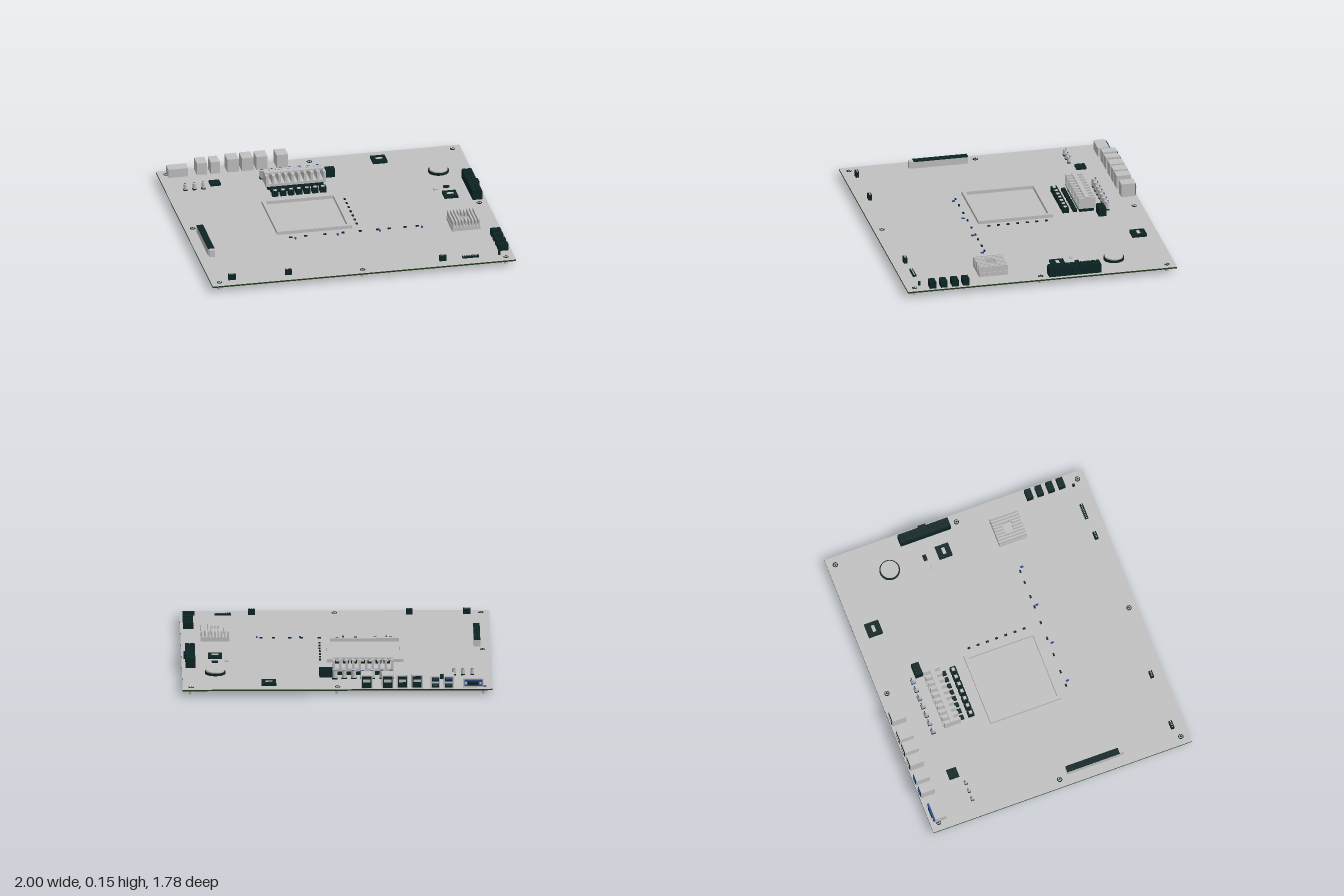
import * as THREE from 'three';

const mat = (name, color, opts = {}) => {
  const m = new THREE.MeshStandardMaterial({ color, ...opts });
  m.name = name;
  return m;
};

export function createModel() {
  const root = new THREE.Group();
  root.name = 'circuitBoard';
  const grey = mat('light grey', 0xc0c0c0);
  const dark = mat('dark plastic', 0x0d2424);
  const green = mat('board edge green', 0x243c1c);
  const blue = mat('connector blue', 0x274a94);
  const T = 0.043; // top surface of the board

  const add = (name, geo, m, parent = root) => {
    const mesh = new THREE.Mesh(geo, m);
    mesh.name = name;
    parent.add(mesh);
    return mesh;
  };
  // box given by its limits on each axis
  const box = (name, x0, x1, y0, y1, z0, z1, m, parent) => {
    const mesh = add(name, new THREE.BoxGeometry(x1 - x0, y1 - y0, z1 - z0), m, parent);
    mesh.position.set((x0 + x1) / 2, (y0 + y1) / 2, (z0 + z1) / 2);
    return mesh;
  };
  // box standing on the board, given by its centre and size
  const block = (name, x, z, w, d, top, m, parent, y0 = T) =>
    box(name, x - w / 2, x + w / 2, y0, top, z - d / 2, z + d / 2, m, parent);
  const can = (name, x, z, r, y0, y1, m, parent, sides = 16) => {
    const mesh = add(name, new THREE.CylinderGeometry(r, r, y1 - y0, sides), m, parent);
    mesh.position.set(x, (y0 + y1) / 2, z);
    return mesh;
  };
  const group = (name) => {
    const g = new THREE.Group();
    g.name = name;
    root.add(g);
    return g;
  };

  // Board: grey faces, green edges
  box('board', -1, 1, 0.033, T, -0.89, 0.89, [green, green, grey, grey, green, green]);

  // Standoffs and screws
  const mounts = group('mounts');
  for (const x of [-0.945, 0, 0.945]) for (const z of [-0.835, 0, 0.835]) {
    if (x === 0 && z === 0) continue;
    can('standoff', x, z, 0.014, 0, 0.033, grey, mounts);
    can('screwWasher', x, z, 0.017, T, T + 0.003, dark, mounts);
    can('screwHead', x, z, 0.012, T, T + 0.006, grey, mounts);
    for (const a of [0, Math.PI / 2]) {
      const slot = block('screwSlot', x, z, 0.019, 0.004, T + 0.007, dark, mounts, T + 0.004);
      slot.rotation.y = a;
    }
  }

  // Rear ports, with dark and blue openings facing back
  const ports = group('rearPorts');
  const port = (x0, x1, top, sockets, tongue) => {
    box('portShell', x0, x1, T, top, -0.88, -0.785, grey, ports);
    const h = (top - T) / sockets;
    for (let i = 0; i < sockets; i++) {
      const y = T + i * h;
      box('portOpening', x0 + 0.008, x1 - 0.008, y + 0.007, y + h - 0.007, -0.883, -0.879, dark, ports);
      box('portTongue', x0 + 0.014, x1 - 0.014, y + h * 0.5, y + h * 0.7, -0.887, -0.882, tongue, ports);
    }
  };
  port(-0.75, -0.685, 0.125, 2, blue);
  port(-0.66, -0.6, 0.125, 2, blue);
  for (const x of [-0.55, -0.455, -0.36, -0.225]) port(x, x + 0.075, 0.133, 1, grey);
  box('videoPortShell', -0.94, -0.81, T, 0.102, -0.855, -0.78, grey, ports);
  box('videoPortFace', -0.933, -0.817, 0.055, 0.094, -0.866, -0.855, blue, ports);
  box('videoPortOpening', -0.91, -0.84, 0.062, 0.086, -0.869, -0.865, dark, ports);
  for (const x of [-0.922, -0.828]) box('videoPortScrew', x - 0.007, x + 0.007, 0.067, 0.081, -0.872, -0.865, grey, ports);

  // Power stage heatsink: base, fins and a ridge along the middle
  const sink = group('powerHeatsink');
  box('heatsinkPad', -0.35, 0.015, T, 0.07, -0.565, -0.47, dark, sink);
  box('heatsinkBase', -0.365, 0.03, 0.07, 0.088, -0.575, -0.46, grey, sink);
  for (let i = 0; i < 10; i++) {
    const x = -0.357 + i * 0.0421;
    box('heatsinkFin', x - 0.008, x + 0.008, 0.088, 0.144, -0.573, -0.462, grey, sink);
  }
  box('heatsinkRidge', -0.365, 0.03, 0.138, 0.15, -0.533, -0.503, grey, sink);

  // Chips and chokes in front of the heatsink
  const power = group('powerStage');
  for (let i = 0; i < 8; i++) block('transistor', -0.326 + i * 0.046, -0.442, 0.028, 0.026, 0.062, dark, power);
  for (let i = 0; i < 7; i++) {
    const x = -0.322 + i * 0.0525;
    block('choke', x, -0.38, 0.04, 0.04, 0.08, dark, power);
    block('chokeTop', x, -0.38, 0.022, 0.02, 0.083, grey, power, 0.079);
  }

  // Can capacitors with a blue stripe on top
  const caps = group('capacitors');
  const capacitor = (x, z, r, top) => {
    block('capacitorFoot', x, z, r * 2.1, r * 1.7, T + 0.008, dark, caps);
    can('capacitorCan', x, z, r, T + 0.008, top, grey, caps);
    block('capacitorStripe', x, z - r * 0.6, r * 1.2, r * 0.4, top + 0.002, blue, caps, top - 0.003);
  };
  for (let i = 0; i < 7; i++) capacitor(-0.35 + i * 0.061, -0.65, 0.016, 0.102);
  for (const x of [-0.872, -0.812, -0.754]) capacitor(x, -0.575, 0.012, 0.088);

  // Small power connector
  const cpuPower = group('smallPowerConnector');
  block('connectorBody', 0.073, -0.6, 0.085, 0.05, 0.098, dark, cpuPower);
  for (let i = 0; i < 4; i++) block('connectorCell', 0.042 + i * 0.021, -0.6, 0.016, 0.04, 0.102, dark, cpuPower, 0.098);

  // Processor socket: stepped frame around the open board
  const socket = group('processorSocket');
  const frame = (name, half, inner, y0, y1) => {
    const s = new THREE.Shape();
    const ring = (p, h) => p.moveTo(-h, -h).lineTo(h, -h).lineTo(h, h).lineTo(-h, h).lineTo(-h, -h);
    ring(s, half);
    const hole = new THREE.Path();
    ring(hole, inner);
    s.holes.push(hole);
    const g = new THREE.ExtrudeGeometry(s, { depth: y1 - y0, bevelEnabled: false });
    g.rotateX(-Math.PI / 2);
    add(name, g, grey, socket).position.set(-0.186, y0, -0.037);
  };
  frame('socketFrame', 0.246, 0.222, T, 0.065);

  // Chipset heatsink: parallel fins, with a low square in the middle
  const chipset = group('chipsetHeatsink');
  box('chipsetBase', 0.685, 0.872, T, 0.07, 0.2, 0.39, grey, chipset);
  for (let i = 0; i < 9; i++) {
    const x = 0.694 + i * 0.0211;
    const cut = i > 2 && i < 6;
    const spans = cut ? [[0.2, 0.265], [0.325, 0.39]] : [[0.2, 0.39]];
    for (const [z0, z1] of spans) box('chipsetFin', x - 0.0055, x + 0.0055, 0.07, 0.11, z0, z1, grey, chipset);
  }

  // Main power connector: two rows of cells and a latch
  const mainPower = group('mainPowerConnector');
  box('connectorBody', 0.912, 0.976, T, 0.1, -0.395, -0.05, dark, mainPower);
  for (let i = 0; i < 12; i++) for (const x of [0.928, 0.96]) {
    block('connectorCell', x, -0.38 + i * 0.0287, 0.028, 0.024, 0.108, dark, mainPower, 0.1);
  }
  box('connectorLatch', 0.976, 0.988, 0.06, 0.1, -0.25, -0.2, dark, mainPower);

  // Drive connectors on the left edge
  for (const z of [0.5, 0.572, 0.647, 0.72]) block('driveConnector', 0.948, z, 0.066, 0.042, 0.088, dark);

  // Expansion slot with clip
  const slot = group('expansionSlot');
  box('slotBody', -0.932, -0.89, T, 0.088, 0.06, 0.42, grey, slot);
  box('slotTop', -0.932, -0.89, 0.088, 0.094, 0.06, 0.42, dark, slot);
  box('slotClip', -0.928, -0.894, T, 0.09, 0.42, 0.45, grey, slot);

  // Pin headers along the front edge
  const header = (x, z, w, top, pins) => {
    const g = group('pinHeader');
    block('headerBody', x, z, w, 0.022, top, dark, g);
    for (let i = 0; i < pins; i++) {
      block('pin', x + w * ((i + 0.5) / pins - 0.5), z, 0.005, 0.007, top + 0.003, grey, g, top - 0.002);
    }
  };
  header(-0.855, 0.805, 0.048, 0.08, 4);
  header(-0.484, 0.805, 0.042, 0.08, 4);
  header(0.535, 0.805, 0.046, 0.08, 4);
  header(0.72, 0.795, 0.106, 0.055, 9);
  block('jumper', 0.91, 0.795, 0.014, 0.014, 0.07, dark);

  // Chips with small labels
  const chip = (x, z, w, d, top, label) => {
    block('chip', x, z, w, d, top, dark);
    if (label) block('chipLabel', x, z, 0.045, 0.022, top + 0.002, grey, root, top - 0.002);
  };
  chip(0.443, -0.76, 0.095, 0.096, 0.06, true);
  chip(0.783, -0.148, 0.09, 0.09, 0.06, true);
  chip(-0.665, -0.632, 0.068, 0.066, 0.057, false);
  chip(0.785, -0.277, 0.04, 0.024, 0.052, false);
  block('crystal', 0.71, -0.252, 0.028, 0.016, 0.052, grey);

  // Coin cell in its holder
  can('batteryHolder', 0.785, -0.52, 0.067, T, 0.058, dark, root, 32);
  can('battery', 0.785, -0.52, 0.059, 0.05, 0.066, grey, root, 32);

  // Tiny surface parts around the socket
  const tiny = group('surfaceParts');
  for (let i = 0; i < 7; i++) block('resistor', 0.105, -0.23 + i * 0.0635, 0.012, 0.018, 0.05, dark, tiny);
  for (const x of [-0.355, -0.255, -0.13, -0.01, 0.105, 0.22, 0.295, 0.4, 0.48]) {
    block('resistor', x, 0.266, 0.02, 0.011, 0.05, dark, tiny);
  }
  for (const x of [-0.327, -0.049, 0.229, 0.507]) block('indicator', x, 0.286, 0.011, 0.02, 0.05, blue, tiny);

  return root;
}
